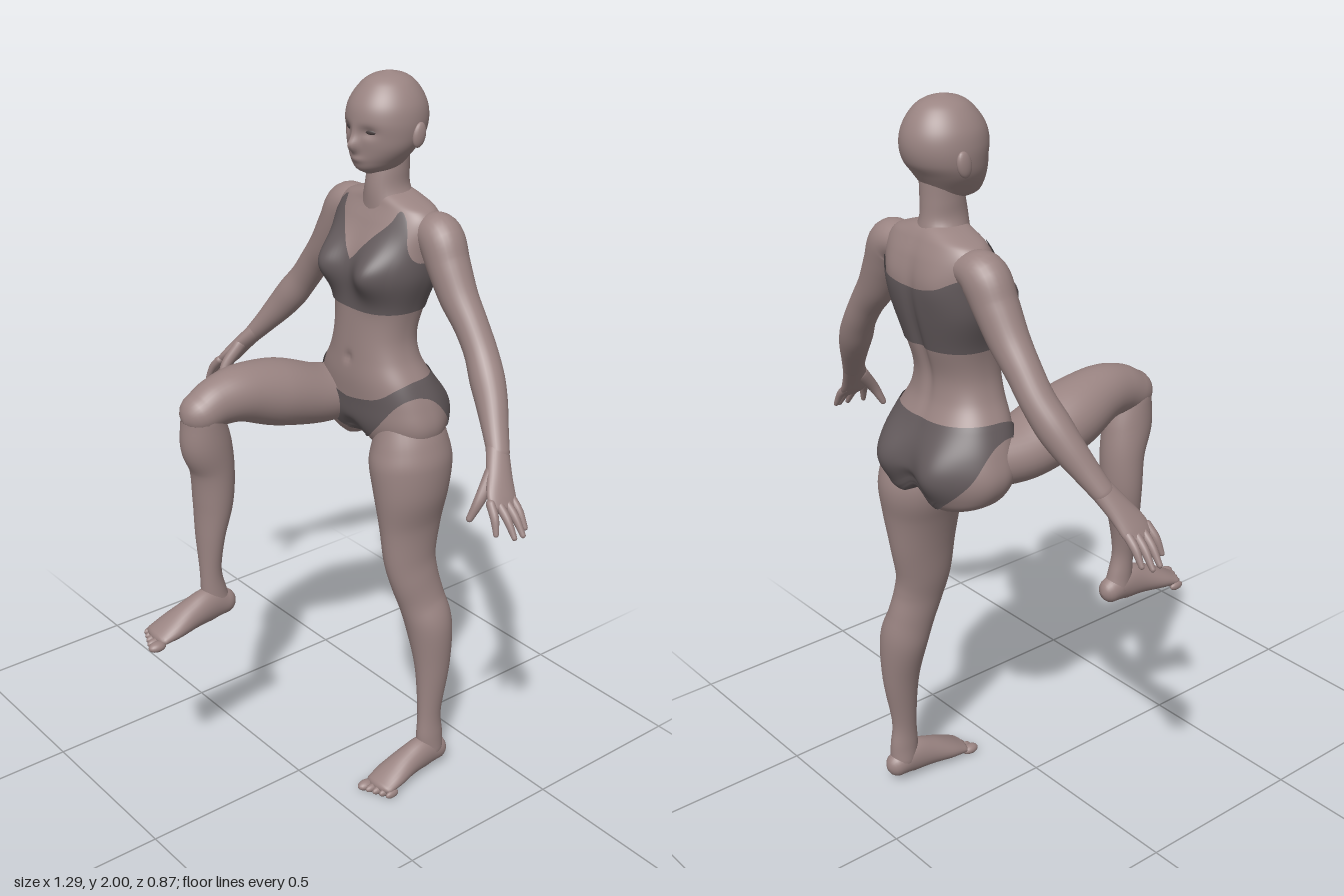
import * as THREE from 'three';

const skin = new THREE.MeshStandardMaterial({ color: 0x9a8482 });
skin.name = 'skin';
const cloth = new THREE.MeshStandardMaterial({ color: 0x635a5c, side: THREE.DoubleSide });
cloth.name = 'dark cloth';
const eyeDark = new THREE.MeshStandardMaterial({ color: 0x4a4040 });
eyeDark.name = 'eye dark';

// Smooth interpolation through rows of [key, value, value, ...]
function sample(keys, k) {
  let i = 0;
  while (i < keys.length - 2 && k > keys[i + 1][0]) i++;
  const p = keys[i], q = keys[i + 1], o = keys[i - 1] || p, r = keys[i + 2] || q;
  const h = q[0] - p[0], s = (k - p[0]) / h, s2 = s * s, s3 = s2 * s;
  return p.slice(1).map((_, j) => {
    const n = j + 1;
    const m0 = h * (q[n] - o[n]) / (q[0] - o[0]), m1 = h * (r[n] - p[n]) / (r[0] - p[0]);
    return (2 * s3 - 3 * s2 + 1) * p[n] + (s3 - 2 * s2 + s) * m0 + (3 * s2 - 2 * s3) * q[n] + (s3 - s2) * m1;
  });
}

// Closed tube of nu columns and nv rows from fn(angle, v, row)
function grid(nu, nv, fn) {
  const pos = [], idx = [];
  for (let j = 0; j <= nv; j++) {
    for (let i = 0; i < nu; i++) {
      const p = fn(i / nu * Math.PI * 2, j / nv, j);
      pos.push(p.x, p.y, p.z);
      if (j === nv) continue;
      const a = j * nu + i, b = j * nu + (i + 1) % nu;
      idx.push(a, b, b + nu, a, b + nu, a + nu);
    }
  }
  const g = new THREE.BufferGeometry();
  g.setAttribute('position', new THREE.Float32BufferAttribute(pos, 3));
  g.setIndex(idx);
  g.computeVertexNormals();
  return g;
}

function add(parent, name, geometry, material = skin) {
  const m = new THREE.Mesh(geometry, material);
  m.name = name;
  parent.add(m);
  return m;
}

function ball(parent, name, c, r, material = skin) {
  const m = add(parent, name, new THREE.SphereGeometry(1, 20, 14), material);
  m.position.set(...c);
  m.scale.set(...r);
  return m;
}

// Limb through rows of [x, y, z, radius along side, radius across], with domed ends
function limb(parent, name, rows, side, nu = 28, perSpan = 6) {
  const path = new THREE.CatmullRomCurve3(rows.map(r => new THREE.Vector3(r[0], r[1], r[2])), false, 'catmullrom', 0.5);
  const radii = new THREE.CatmullRomCurve3(rows.map(r => new THREE.Vector3(r[3], r[4], 0)), false, 'catmullrom', 0.5);
  const cap = 5, body = (rows.length - 1) * perSpan, rings = [];
  for (let j = 0; j <= body + 2 * cap; j++) {
    const t = Math.min(1, Math.max(0, (j - cap) / body));
    const over = j < cap ? (j - cap) / cap : Math.max(0, (j - cap - body) / cap);
    const T = path.getTangent(t), R = radii.getPoint(t);
    const S = new THREE.Vector3(...side).addScaledVector(T, -T.dot(new THREE.Vector3(...side))).normalize();
    const B = T.clone().cross(S);
    const c = path.getPoint(t).addScaledVector(T, Math.min(R.x, R.y) * Math.sin(over * Math.PI / 2));
    rings.push({ c, S, B, R: R.multiplyScalar(Math.max(0.001, Math.cos(over * Math.PI / 2))) });
  }
  return add(parent, name, grid(nu, rings.length - 1, (a, v, j) => {
    const { c, S, B, R } = rings[j];
    return c.clone().addScaledVector(S, Math.cos(a) * R.x).addScaledVector(B, Math.sin(a) * R.y);
  }));
}

// Upright surface from rows [y, half width, front z, back z] plus bumps [x, y, sx, sy, amount, facing]
function upright(keys, bumps, power) {
  const pw = n => Math.sign(n) * Math.abs(n) ** power;
  return (a, y, out = 0) => {
    const [w, zf, zb] = sample(keys, y);
    const s = Math.sin(a), c = Math.cos(a), x = w * pw(s);
    let z = (zf + zb) / 2 + (zf - zb) / 2 * pw(c);
    for (const [bx, by, sx, sy, amt, f] of bumps) {
      for (const m of bx ? [1, -1] : [1]) {
        const e = ((x - m * bx) / sx) ** 2 + ((y - by) / sy) ** 2;
        z += f * amt * Math.exp(-e) * Math.sqrt(Math.max(0, f * c));
      }
    }
    return new THREE.Vector3(x + out * s, y, z + out * c);
  };
}
const ease = v => 0.5 - 0.5 * Math.cos(Math.PI * v);

const torsoBase = upright([
  [0.985, 0.001, -0.3, -0.302], [0.99, 0.09, -0.24, -0.37], [1.005, 0.15, -0.215, -0.385],
  [1.04, 0.19, -0.19, -0.39], [1.09, 0.207, -0.172, -0.393], [1.15, 0.193, -0.165, -0.388],
  [1.21, 0.167, -0.16, -0.37], [1.27, 0.133, -0.162, -0.35], [1.33, 0.119, -0.165, -0.347],
  [1.41, 0.128, -0.17, -0.368], [1.5, 0.157, -0.18, -0.388], [1.57, 0.165, -0.192, -0.393],
  [1.63, 0.168, -0.212, -0.383], [1.67, 0.145, -0.23, -0.367], [1.69, 0.09, -0.236, -0.355], [1.705, 0.04, -0.245, -0.34],
], [
  [0.085, 1.512, 0.062, 0.066, 0.062, 1],    // breasts
  [0.098, 1.1, 0.075, 0.085, 0.048, -1],     // buttocks
  [0.085, 1.58, 0.05, 0.06, 0.008, -1],      // shoulder blades
  [0, 1.42, 0.018, 0.16, -0.012, -1],        // spine
  [0, 1.265, 0.012, 0.014, -0.008, 1],       // navel
], 0.86);
// Raise the middle of the underside between the legs
function torso(a, y, out = 0) {
  const p = torsoBase(a, y, out), k = Math.min(1, Math.max(0, (1.12 - y) / 0.12));
  p.y += 0.045 * Math.exp(-((p.x / 0.05) ** 2)) * k * k * (3 - 2 * k) - (y < 1.02 ? out : 0);
  return p;
}
// Garment lying on the torso between two edge lines given by angle from the front
function garment(parent, name, bottom, top) {
  add(parent, name, grid(120, 36, (a, v) => {
    const d = (a > Math.PI ? 2 * Math.PI - a : a) * 180 / Math.PI;
    const lo = Math.max(0.985, sample(bottom, d)[0]), hi = sample(top, d)[0];
    return torso(a, lo + (hi - lo) * v, 0.004);
  }), cloth);
}

function buildHead(parent) {
  const g = new THREE.Group();
  g.name = 'head';
  parent.add(g);
  const face = upright([
    [1.75, 0.012, -0.215, -0.3], [1.765, 0.045, -0.189, -0.32], [1.79, 0.069, -0.18, -0.335],
    [1.82, 0.089, -0.177, -0.356], [1.85, 0.098, -0.174, -0.378], [1.89, 0.1, -0.17, -0.387],
    [1.93, 0.091, -0.179, -0.379], [1.97, 0.065, -0.208, -0.353], [1.99, 0.037, -0.238, -0.323], [2, 0.001, -0.28, -0.281],
  ], [
    [0, 1.828, 0.013, 0.018, 0.022, 1], [0, 1.85, 0.01, 0.022, 0.008, 1],  // nose
    [0.04, 1.865, 0.02, 0.014, -0.01, 1],                                  // eye sockets
    [0, 1.793, 0.022, 0.009, 0.006, 1],                                    // lips
  ], 1);
  add(g, 'skull', grid(80, 80, (a, v) => face(a, 1.75 + 0.25 * ease(v))));
  for (const s of [1, -1]) {
    const e = face(s * 0.43, 1.866);
    ball(g, 'eye', [e.x, e.y, e.z], [0.015, 0.006, 0.004], eyeDark).rotation.y = s * 0.4;
    ball(g, 'ear', [s * 0.1, 1.855, -0.298], [0.011, 0.032, 0.02]).rotation.x = -0.2;
  }
  limb(parent, 'neck', [[0, 1.82, -0.295, 0.05, 0.048], [0, 1.76, -0.288, 0.05, 0.056],
    [0, 1.71, -0.285, 0.053, 0.062], [0, 1.66, -0.29, 0.08, 0.066]], [1, 0, 0]);
}

function buildArm(parent, name, mirror) {
  const g = new THREE.Group();
  g.name = name;
  g.scale.x = mirror;
  parent.add(g);
  const side = [0, 0, 1];
  limb(g, 'arm', [
    [0.125, 1.625, -0.31, 0.05, 0.042], [0.18, 1.61, -0.308, 0.058, 0.06], [0.217, 1.55, -0.305, 0.055, 0.056],
    [0.26, 1.48, -0.303, 0.049, 0.051], [0.31, 1.42, -0.302, 0.044, 0.044], [0.355, 1.36, -0.298, 0.043, 0.042],
    [0.395, 1.305, -0.285, 0.044, 0.045], [0.43, 1.258, -0.27, 0.04, 0.041], [0.47, 1.205, -0.248, 0.034, 0.032],
    [0.505, 1.16, -0.228, 0.03, 0.025]], side);
  limb(g, 'palm', [[0.495, 1.172, -0.233, 0.03, 0.025], [0.535, 1.12, -0.205, 0.036, 0.021],
    [0.565, 1.08, -0.186, 0.043, 0.017], [0.582, 1.058, -0.18, 0.04, 0.013]], side);
  // Little finger to forefinger: root z and tip
  const tips = [[-0.212, 0.625, 1.008, -0.213], [-0.19, 0.64, 1, -0.192], [-0.167, 0.637, 1, -0.166], [-0.146, 0.608, 1.008, -0.132]];
  for (const [z, tx, ty, tz] of tips) {
    limb(g, 'finger', [[0.57, 1.072, z, 0.012, 0.012], [(0.57 + tx) / 2 + 0.004, (1.072 + ty) / 2 + 0.004, (z + tz) / 2, 0.011, 0.011],
      [tx, ty, tz, 0.007, 0.007]], side, 12, 4);
  }
  limb(g, 'thumb', [[0.525, 1.125, -0.19, 0.02, 0.018], [0.534, 1.07, -0.145, 0.015, 0.014],
    [0.527, 1.022, -0.12, 0.009, 0.009]], side, 14, 5);
}

function buildFoot(parent, name) {
  const g = new THREE.Group();
  g.name = name;
  parent.add(g);
  limb(g, 'sole and instep', [[0.213, 0.056, -0.34, 0.032, 0.036], [0.213, 0.064, -0.29, 0.036, 0.05],
    [0.213, 0.054, -0.23, 0.041, 0.042], [0.215, 0.037, -0.17, 0.049, 0.03], [0.218, 0.024, -0.125, 0.048, 0.018]], [1, 0, 0]);
  for (let i = 0; i < 5; i++) {
    const r = i ? 0.0115 - 0.0005 * i : 0.017;
    ball(g, 'toe', [0.184 + 0.019 * i + (i ? 0.003 : 0), 0.014, -0.1 - 0.008 * i], [r, i ? 0.012 : 0.014, 0.026 - 0.001 * i]);
  }
  return g;
}

export function createModel() {
  const model = new THREE.Group();
  model.name = 'stepping figure';

  add(model, 'torso', grid(120, 130, (a, v) => torso(a, 0.985 + 0.72 * ease(v))));
  garment(model, 'top', [[0, 1.405], [180, 1.405]],
    [[0, 1.535], [15, 1.6], [30, 1.645], [36, 1.665], [46, 1.665], [54, 1.6], [70, 1.555], [90, 1.55], [120, 1.6], [150, 1.575], [180, 1.56]]);
  garment(model, 'briefs',
    [[0, 0.985], [8, 1.01], [25, 1.09], [50, 1.16], [80, 1.185], [100, 1.165], [125, 1.09], [150, 1.01], [162, 0.985], [180, 0.985]],
    [[0, 1.155], [30, 1.175], [60, 1.21], [90, 1.225], [180, 1.22]]);

  buildHead(model);
  buildArm(model, 'leftArm', 1);
  buildArm(model, 'rightArm', -1);

  // Standing leg
  limb(model, 'leftLeg', [
    [0.112, 1.1, -0.28, 0.075, 0.09], [0.121, 1.04, -0.282, 0.094, 0.108], [0.127, 0.98, -0.282, 0.103, 0.12],
    [0.137, 0.9, -0.278, 0.09, 0.112], [0.139, 0.8, -0.277, 0.066, 0.098], [0.146, 0.7, -0.273, 0.056, 0.083],
    [0.158, 0.63, -0.282, 0.053, 0.075], [0.169, 0.56, -0.301, 0.056, 0.07], [0.187, 0.48, -0.317, 0.065, 0.067],
    [0.203, 0.35, -0.322, 0.047, 0.053], [0.21, 0.2, -0.312, 0.03, 0.037], [0.213, 0.12, -0.313, 0.031, 0.042],
    [0.213, 0.07, -0.317, 0.034, 0.04]], [1, 0, 0], 36);
  buildFoot(model, 'leftFoot');

  // Raised leg
  limb(model, 'rightThigh', [
    [-0.11, 1.115, -0.29, 0.075, 0.07], [-0.128, 1.12, -0.16, 0.096, 0.08], [-0.13, 1.16, -0.02, 0.098, 0.09],
    [-0.124, 1.19, 0.095, 0.078, 0.077], [-0.122, 1.188, 0.17, 0.064, 0.067], [-0.121, 1.17, 0.225, 0.057, 0.056]], [1, 0, 0], 36);
  limb(model, 'rightShin', [
    [-0.122, 1.16, 0.222, 0.056, 0.056], [-0.124, 1.08, 0.211, 0.06, 0.07], [-0.129, 1, 0.19, 0.06, 0.06],
    [-0.132, 0.9, 0.188, 0.058, 0.053], [-0.13, 0.8, 0.201, 0.046, 0.038], [-0.124, 0.7, 0.207, 0.03, 0.03],
    [-0.122, 0.63, 0.2, 0.03, 0.037], [-0.121, 0.59, 0.192, 0.033, 0.04]], [1, 0, 0], 36);
  const foot = buildFoot(model, 'rightFoot');
  foot.scale.x = -1;
  foot.position.set(0.093, 0.53, 0.508);

  return model;
}
